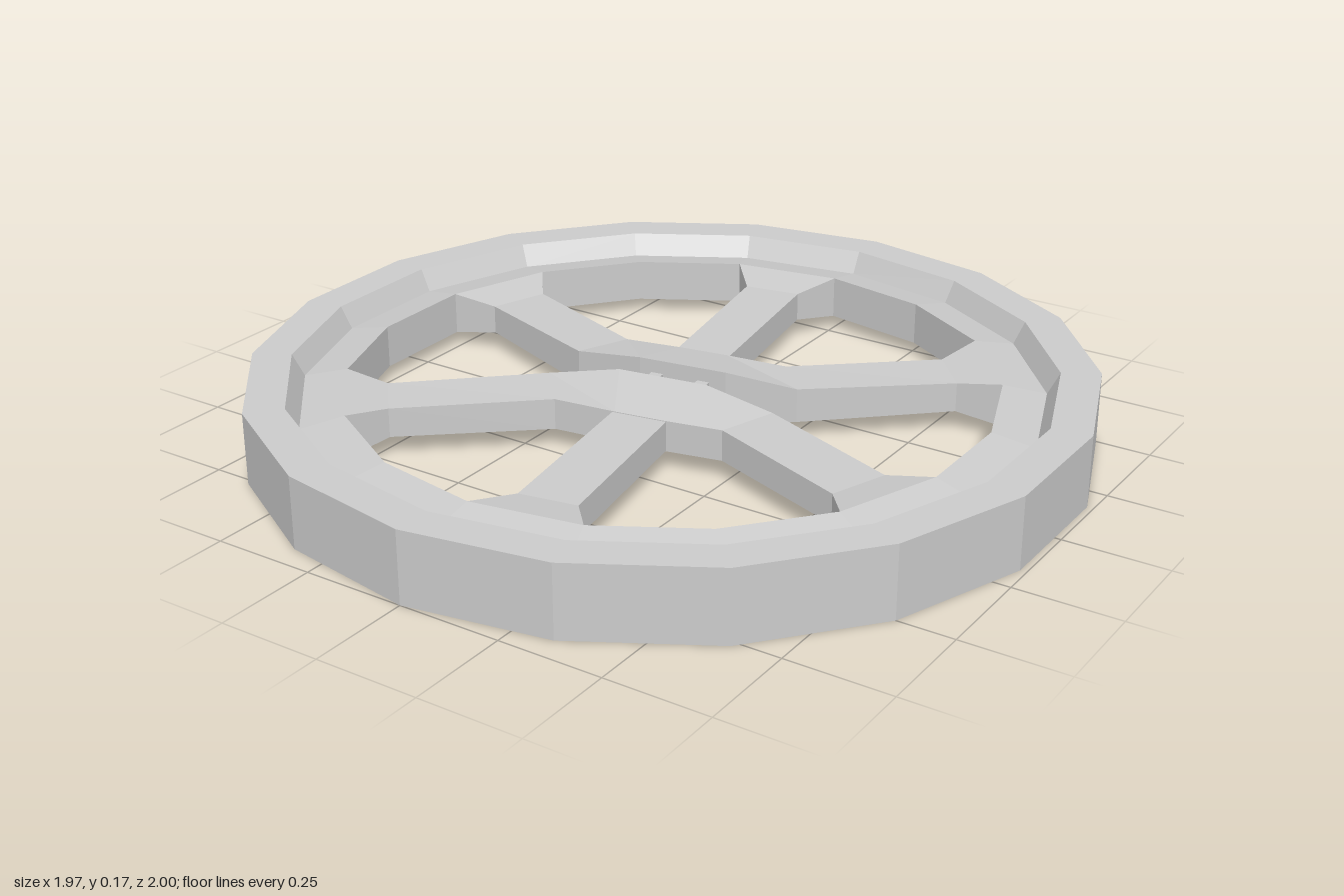
import * as THREE from 'three';

const MID = 0.087; // mid height of the wheel
const material = new THREE.MeshStandardMaterial({ color: 0xcccccc, flatShading: true, side: THREE.DoubleSide });

function addMesh(parent, geometry, name) {
  const mesh = new THREE.Mesh(geometry, material);
  mesh.name = name;
  parent.add(mesh);
  return mesh;
}

// Four-sided bar through cross-sections [ax, az, bx, bz, half height at a, half height at b]
function bar(sections) {
  const position = [], index = [];
  sections.forEach(([ax, az, bx, bz, ha, hb], i) => {
    position.push(ax, MID + ha, az, bx, MID + hb, bz, bx, MID - hb, bz, ax, MID - ha, az);
    if (i === 0) return;
    const p = (i - 1) * 4, q = i * 4;
    for (let j = 0; j < 4; j++) {
      const k = (j + 1) % 4;
      index.push(p + j, p + k, q + k, p + j, q + k, q + j);
    }
  });
  const geometry = new THREE.BufferGeometry();
  geometry.setAttribute('position', new THREE.Float32BufferAttribute(position, 3));
  geometry.setIndex(index);
  geometry.computeVertexNormals();
  return geometry;
}

export function createModel() {
  const model = new THREE.Group();
  model.name = 'spokedWheel';

  // Rim: 18-sided ring, stepped in on both faces
  const half = [[1, 0.087], [0.905, 0.087], [0.877, 0.033], [0.773, 0.053]];
  const profile = [
    ...half.map(([r, h]) => new THREE.Vector2(r, MID + h)),
    ...half.slice().reverse().map(([r, h]) => new THREE.Vector2(r, MID - h)),
  ];
  profile.push(profile[0].clone());
  // Reversed so that the faces look outward
  const rim = new THREE.LatheGeometry(profile.reverse(), 18);
  addMesh(model, rim, 'rim');

  // Corner of the rim's inner edge, counted from the front
  const corner = (step) => {
    const a = (step * Math.PI) / 9;
    return [0.773 * Math.sin(a), 0.773 * Math.cos(a)];
  };

  // Bent double spoke: passes beside the centre, raised along its inner edge there
  const bentSpoke = bar([
    [...corner(-3), ...corner(-2), 0.053, 0.053],
    [-0.56, 0.37, -0.465, 0.48, 0.036, 0.036],
    [-0.27, 0.12, -0.175, 0.23, 0.042, 0.038],
    [-0.11, 0.06, -0.02, 0.21, 0.068, 0.038],
    [0.11, 0.025, 0.1, 0.19, 0.068, 0.038],
    [0.29, 0.025, 0.24, 0.16, 0.042, 0.038],
    [0.65, 0.155, 0.6, 0.295, 0.036, 0.036],
    [...corner(4), ...corner(3), 0.053, 0.053],
  ]);

  // Straight spoke, running into the bent one
  const straightSpoke = bar([
    [...corner(0), ...corner(1), 0.053, 0.053],
    [0.045, 0.66, 0.185, 0.635, 0.036, 0.036],
    [-0.04, 0.12, 0.092, 0.1, 0.036, 0.036],
  ]);

  // Narrow strip bridging the gap at the centre
  const strip = bar([
    [0.06, 0.11, 0.09, 0.105, 0.035, 0.035],
    [0.03, -0.11, 0.06, -0.115, 0.035, 0.035],
  ]);

  // The wheel repeats after half a turn
  for (const name of ['front', 'back']) {
    const side = new THREE.Group();
    side.name = name + 'Spokes';
    addMesh(side, bentSpoke, 'bentSpoke');
    addMesh(side, straightSpoke, 'straightSpoke');
    addMesh(side, strip, 'centreStrip');
    if (name === 'back') side.rotation.y = Math.PI;
    model.add(side);
  }
  return model;
}
